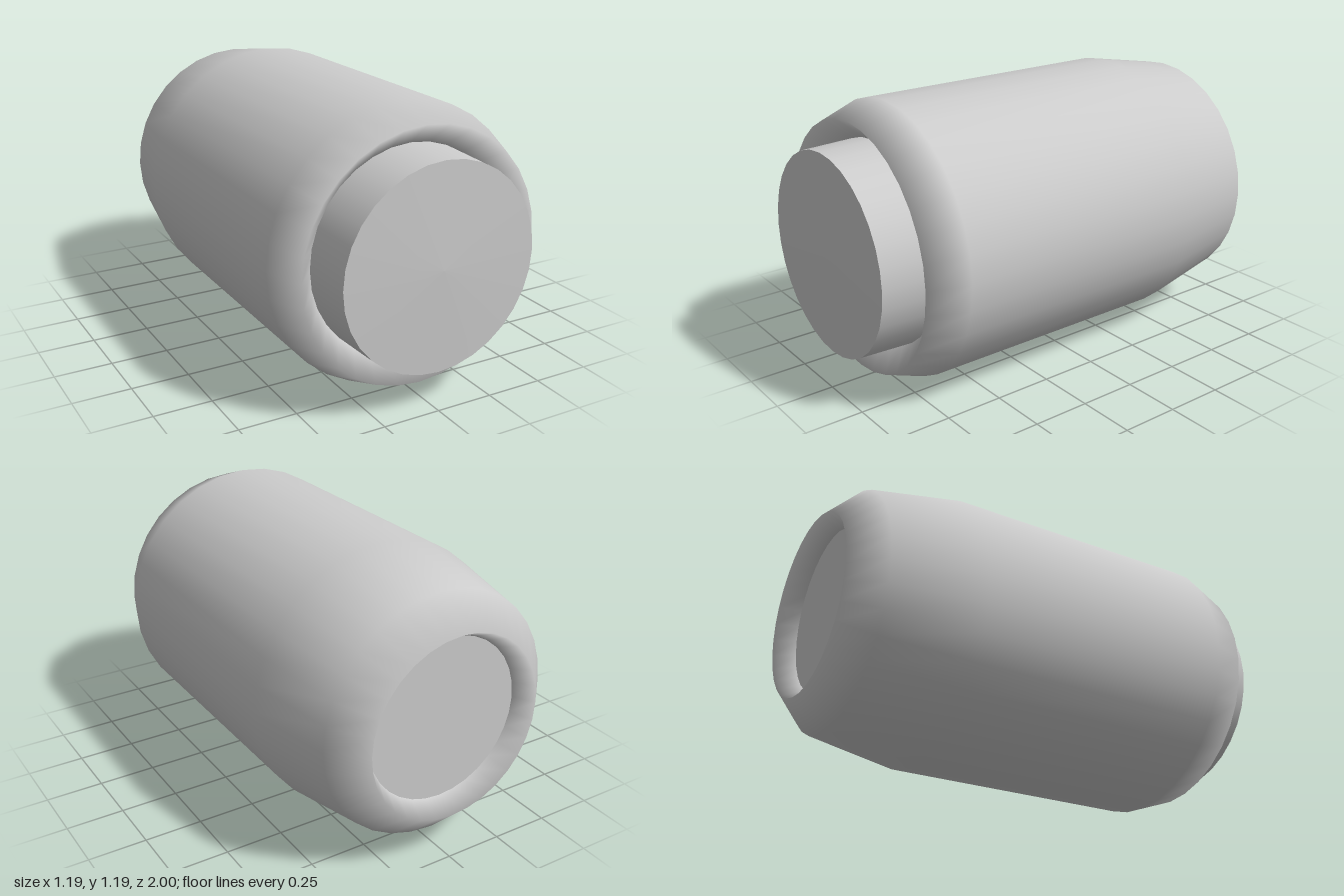
import * as THREE from 'three';

const SIDES = 32;
const CENTRE_Y = 0.596;

export function createModel() {
  const model = new THREE.Group();
  model.name = 'canister';
  const material = new THREE.MeshStandardMaterial({ color: 0xcccccc });

  // Turns a profile of [radius, z] points, listed back to front, around the long axis
  const turned = (name, profile) => {
    const points = profile.map(([r, z]) => new THREE.Vector2(r, z));
    const geometry = new THREE.LatheGeometry(points, SIDES);
    geometry.rotateX(Math.PI / 2);
    const mesh = new THREE.Mesh(geometry, material);
    mesh.name = name;
    mesh.position.y = CENTRE_Y;
    model.add(mesh);
  };

  // Smooth shell with rims rolling inward at both ends
  turned('shell', [
    [0.35, -0.91], [0.395, -1], [0.525, -0.87], [0.595, -0.48],
    [0.595, 0.69], [0.535, 0.86], [0.44, 0.75],
  ]);

  // Recessed flat base at the back
  turned('base', [[0, -0.91], [0.35, -0.91]]);

  // Slightly tapered neck with a very shallow domed lid
  turned('neck', [[0.44, 0.75], [0.432, 0.985]]);
  turned('lid', [[0.432, 0.985], [0, 1]]);

  return model;
}
